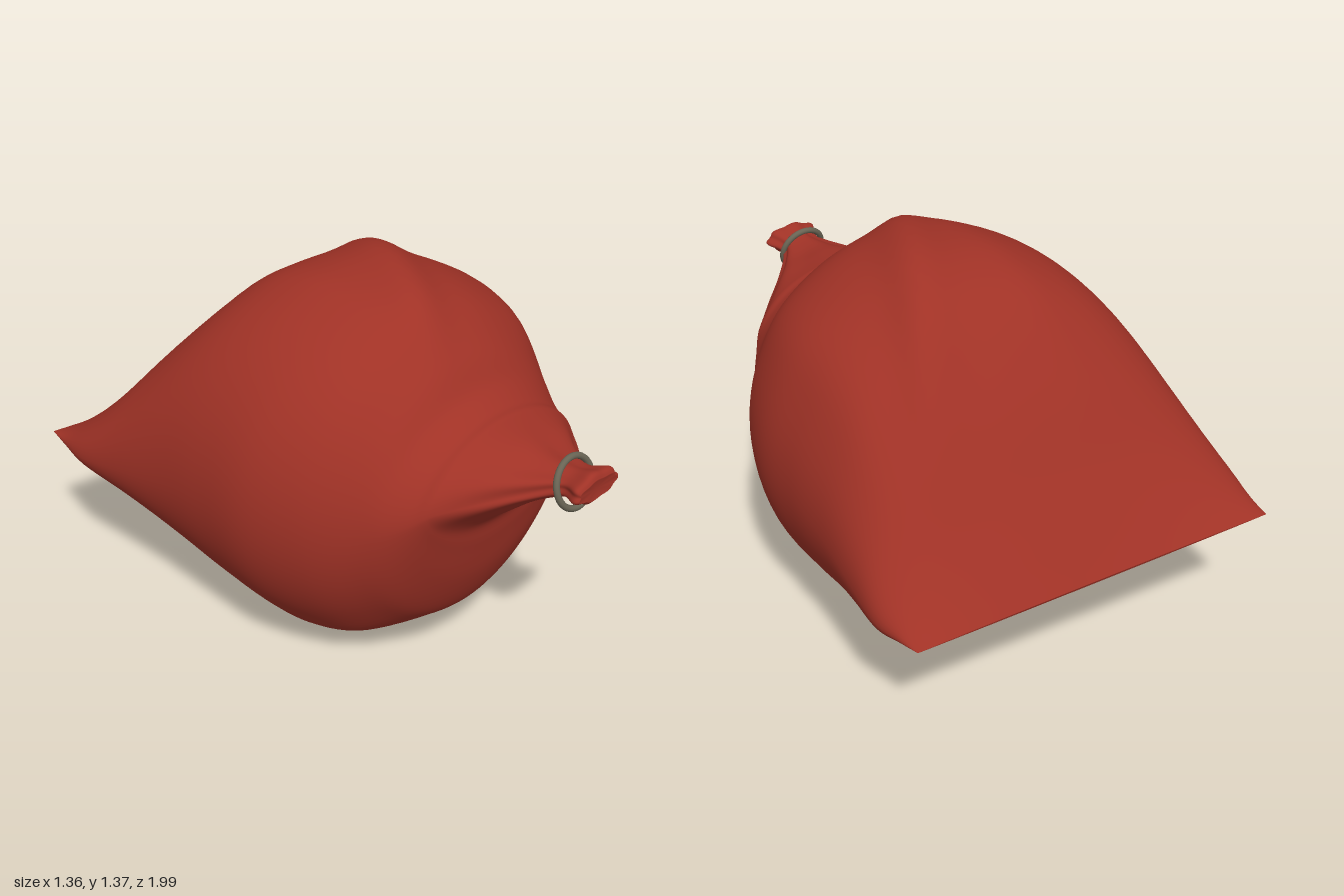
import * as THREE from 'three';

const cloth = new THREE.MeshStandardMaterial({ color: 0xa03226, side: THREE.DoubleSide });
cloth.name = 'red cloth';
const metal = new THREE.MeshStandardMaterial({ color: 0x696454 });
metal.name = 'dull metal';

// Cross-sections, mouth to seam: z, half width, side height, top, bottom
const SECTIONS = [
  [0.99, 0.09, 0.97, 1.0, 0.935],
  [0.97, 0.1, 0.97, 1.02, 0.92],
  [0.9, 0.076, 0.957, 1.0, 0.91],
  [0.8, 0.15, 0.92, 1.0, 0.86],
  [0.7, 0.25, 0.88, 1.02, 0.775],
  [0.615, 0.335, 0.84, 1.037, 0.69],
  [0.59, 0.36, 0.82, 1.043, 0.59],
  [0.55, 0.39, 0.78, 1.05, 0.43],
  [0.48, 0.44, 0.73, 1.09, 0.28],
  [0.4, 0.49, 0.7, 1.19, 0.2],
  [0.25, 0.59, 0.7, 1.3, 0.09],
  [0.06, 0.655, 0.69, 1.345, 0.04],
  [-0.15, 0.662, 0.68, 1.34, 0.05],
  [-0.35, 0.662, 0.64, 1.26, 0.118],
  [-0.55, 0.673, 0.585, 1.055, 0.235],
  [-0.72, 0.682, 0.545, 0.81, 0.35],
  [-0.84, 0.66, 0.535, 0.645, 0.455],
  [-0.92, 0.643, 0.535, 0.538, 0.532],
];
const LAST = SECTIONS.length - 1;

const spline = (a, b, c, d, t) => b + 0.5 * t * (c - a + t * (2 * a - 5 * b + 4 * c - d + t * (3 * (b - c) + d - a)));
const row = (k) => SECTIONS[THREE.MathUtils.clamp(k, 0, LAST)];
const sectionAt = (u) => {
  const i = Math.min(Math.floor(u), LAST - 1);
  return row(i).map((v, k) => spline(row(i - 1)[k], v, row(i + 1)[k], row(i + 2)[k], u - i));
};
const bump = (angle, centre, width) => {
  const d = Math.atan2(Math.sin(angle - centre), Math.cos(angle - centre)) / width;
  return Math.exp(-d * d);
};

function makeSack() {
  const around = 96, steps = LAST * 6;
  const pos = [], index = [];
  for (let i = 0; i <= steps; i++) {
    const [z, w, side, top, bottom] = sectionAt(i / 6);
    const tail = THREE.MathUtils.clamp(-z / 0.92, 0, 1);
    const belly = THREE.MathUtils.smoothstep(z, -0.9, -0.3) * (1 - THREE.MathUtils.smoothstep(z, 0.2, 0.5));
    const neck = THREE.MathUtils.smoothstep(z, 0.55, 0.85);
    // The cloth pinches into a lens where the neck leaves the belly
    const sharp = 1 + 0.25 * Math.exp(-(((z - 0.63) / 0.12) ** 2));
    for (let j = 0; j < around; j++) {
      const a = (j / around) * Math.PI * 2;
      const c = Math.cos(a), s = Math.sin(a);
      // Drifting cloth ridges on the belly, gathered pleats on the neck
      const fold = 1 + neck * 0.06 * Math.cos(7 * a + 0.6) + belly * (
        0.062 * bump(a, 1.43 + 0.7 * z, 0.15) + 0.045 * bump(a, -1.45, 0.14)
        + 0.025 * bump(a, 0.72, 0.2) + 0.025 * bump(a, -2.15, 0.16) + 0.012 * bump(a, 1.8, 0.12));
      const x = w * c * fold - 0.015 * neck;
      const h = s > 0 ? top - side : side - bottom;
      const y = side + Math.sign(s) * h * Math.pow(Math.abs(s), sharp) * fold;
      // The flat seam runs askew
      pos.push(x, y - 0.06 * x * tail, z + 0.12 * x * tail);
    }
  }
  for (let i = 0; i < steps; i++) {
    for (let j = 0; j < around; j++) {
      const a = i * around + j, b = i * around + ((j + 1) % around);
      index.push(a, a + around, b, b, a + around, b + around);
    }
  }
  // Puckered mouth
  const centre = pos.length / 3;
  pos.push(-0.015, 0.965, 0.98);
  for (let j = 0; j < around; j++) index.push(centre, j, (j + 1) % around);

  const g = new THREE.BufferGeometry();
  g.setAttribute('position', new THREE.Float32BufferAttribute(pos, 3));
  g.setIndex(index);
  g.computeVertexNormals();
  return g;
}

export function createModel() {
  const model = new THREE.Group();
  model.name = 'tied sack';

  const sack = new THREE.Mesh(makeSack(), cloth);
  sack.name = 'sack';

  // Tilted ring around the gathered neck
  const ring = new THREE.Mesh(new THREE.TorusGeometry(0.083, 0.011, 12, 48), metal);
  ring.name = 'neckRing';
  ring.position.set(-0.016, 0.95, 0.897);
  ring.rotation.x = -0.28;

  model.add(sack, ring);
  return model;
}
